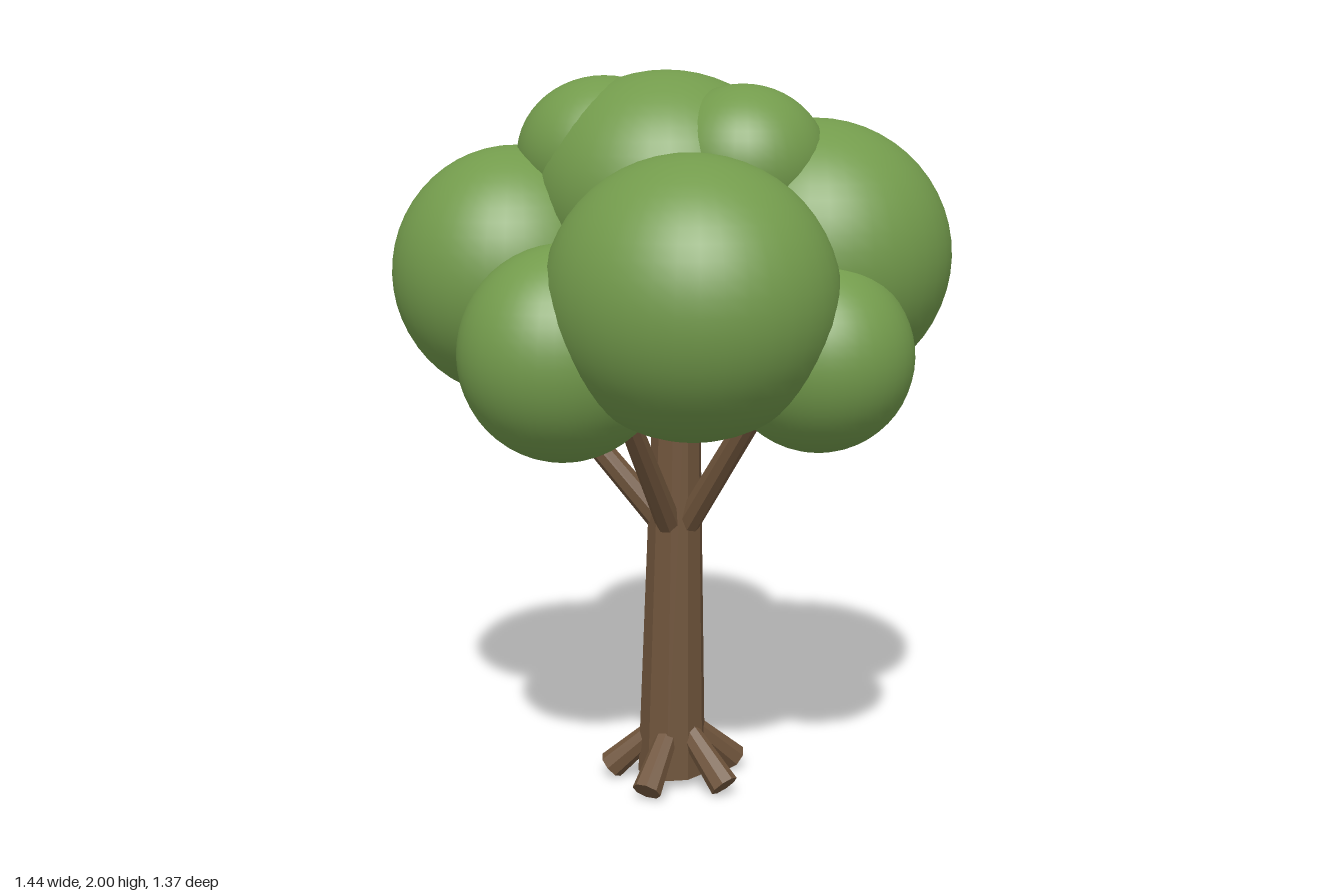
import * as THREE from 'three';

const bark = new THREE.MeshStandardMaterial({ color: 0x70553c, flatShading: true });
bark.name = 'bark';
const leaves = new THREE.MeshStandardMaterial({ color: 0x739b4c });
leaves.name = 'leaves';

// Tapered round limb between two points
function limb(name, from, to, r0, r1, sides) {
  const dir = to.clone().sub(from);
  const geo = new THREE.CylinderGeometry(r1, r0, dir.length(), sides);
  const mesh = new THREE.Mesh(geo, bark);
  mesh.name = name;
  mesh.position.copy(from).add(to).multiplyScalar(0.5);
  mesh.quaternion.setFromUnitVectors(new THREE.Vector3(0, 1, 0), dir.normalize());
  return mesh;
}

// Point at a distance from the trunk axis
const around = (angle, radius, y) =>
  new THREE.Vector3(Math.cos(angle) * radius - 0.005, y, Math.sin(angle) * radius + 0.01);

export function createModel() {
  const tree = new THREE.Group();
  tree.name = 'tree';

  // Trunk
  tree.add(limb('trunk', new THREE.Vector3(-0.022, 0.03, 0.01),
    new THREE.Vector3(0, 1.35, 0.008), 0.097, 0.06, 10));

  // Five roots and five branches, evenly spread
  const slopes = [0.69, 0.72, 0.85, 0.84, 0.75];
  slopes.forEach((slope, i) => {
    const a = (i * Math.PI * 2) / 5;
    tree.add(limb('root', around(a, 0.05, 0.16), around(a, 0.188, 0.034), 0.03, 0.041, 8));
    const rise = 0.5;
    tree.add(limb('branch', around(a, 0.045, 0.77),
      around(a, 0.045 + slope * rise, 0.77 + rise), 0.036, 0.025, 8));
  });

  // Leaf clumps: name, centre, radii
  const clumps = [
    ['frontLeftClump', [0.26, 1.435, 0.23], [0.39, 0.365, 0.365]],
    ['frontRightClump', [-0.37, 1.455, 0.26], [0.33, 0.345, 0.345]],
    ['backLeftClump', [0.27, 1.51, -0.24], [0.375, 0.365, 0.36]],
    ['backRightClump', [-0.34, 1.5, -0.275], [0.345, 0.34, 0.335]],
    ['lowerFrontClump', [-0.04, 1.28, 0.39], [0.265, 0.285, 0.29]],
    ['lowerBackClump', [-0.02, 1.31, -0.42], [0.25, 0.255, 0.265]],
    ['lowerLeftClump', [0.46, 1.28, -0.03], [0.257, 0.25, 0.24]],
    ['lowerRightClump', [-0.44, 1.31, 0.01], [0.28, 0.295, 0.27]],
    ['crownClump', [-0.05, 1.67, 0], [0.37, 0.33, 0.362]],
    ['crownRightClump', [-0.19, 1.77, 0.095], [0.24, 0.215, 0.237]],
    ['crownLeftClump', [0.19, 1.75, -0.04], [0.23, 0.215, 0.225]],
  ];
  const ball = new THREE.SphereGeometry(1, 40, 26);
  for (const [name, centre, radii] of clumps) {
    const clump = new THREE.Mesh(ball, leaves);
    clump.name = name;
    clump.position.set(...centre);
    clump.scale.set(...radii);
    tree.add(clump);
  }
  return tree;
}
